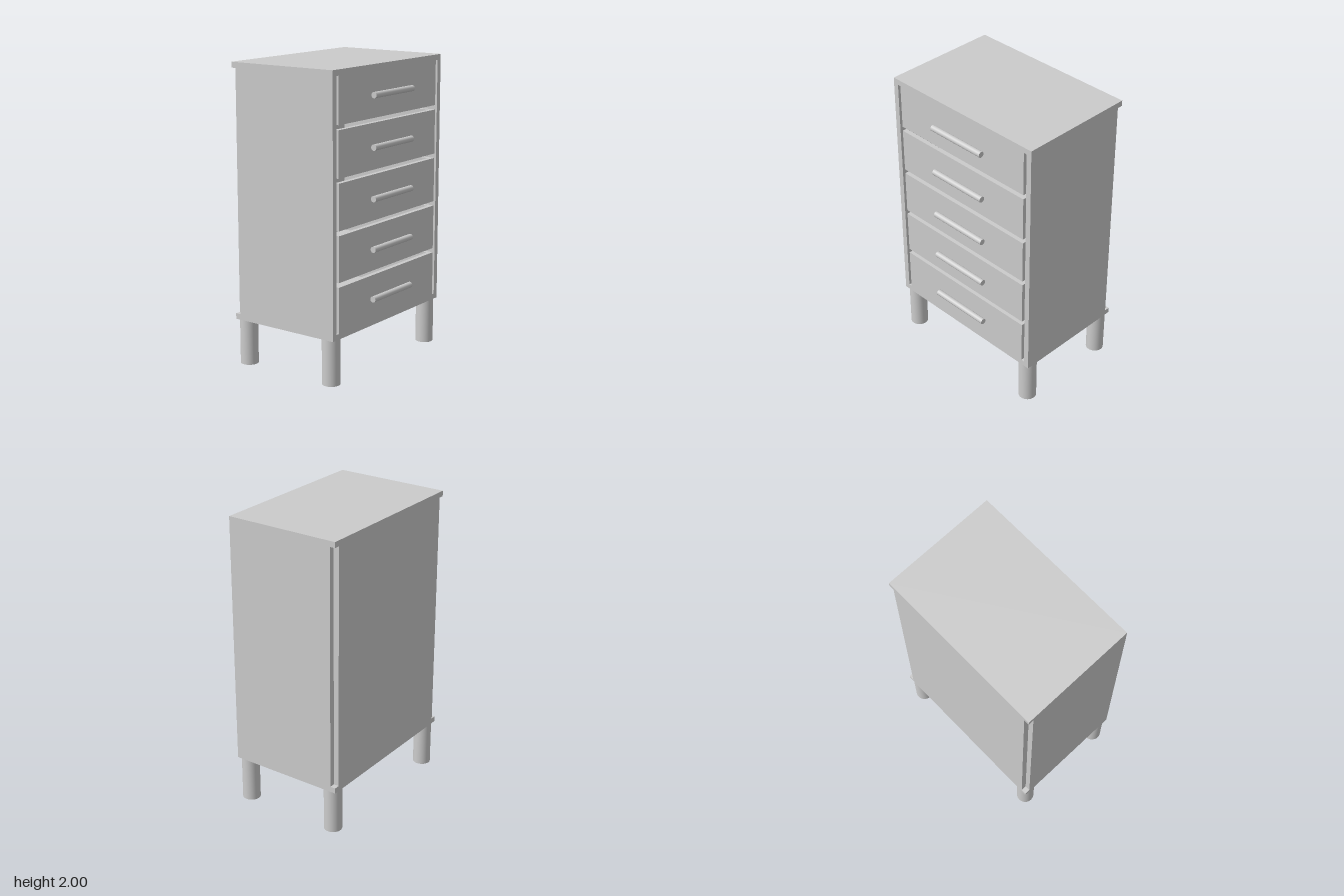
import * as THREE from 'three';

const material = new THREE.MeshStandardMaterial({ color: 0xcccccc });

function add(parent, name, geometry, x, y, z) {
  const mesh = new THREE.Mesh(geometry, material);
  mesh.name = name;
  mesh.position.set(x, y, z);
  parent.add(mesh);
  return mesh;
}

// Box given by its minimum and maximum corners
function panel(parent, name, [x0, y0, z0], [x1, y1, z1]) {
  return add(parent, name, new THREE.BoxGeometry(x1 - x0, y1 - y0, z1 - z0),
    (x0 + x1) / 2, (y0 + y1) / 2, (z0 + z1) / 2);
}

const W = 0.6, FRONT = 0.375, BACK = -0.425;   // cabinet extents
const BASE = 0.305, TOP = 2;                   // cabinet bottom and top
const T = 0.0375;                              // board thickness
const INNER_BACK = BACK + T;
const DRAWER_W = 0.54, DRAWER_H = 0.3, GAP = 0.03, WALL = 0.03;

// Open-topped drawer with a bar handle; its origin is the bottom of the front face
function makeDrawer() {
  const drawer = new THREE.Group();
  drawer.name = 'drawer';
  const depth = FRONT - INNER_BACK;
  const inner = DRAWER_W - WALL;
  panel(drawer, 'drawerFront', [-DRAWER_W, 0, -WALL], [DRAWER_W, DRAWER_H, 0]);
  panel(drawer, 'drawerBack', [-DRAWER_W, 0, -depth], [DRAWER_W, DRAWER_H, -depth + WALL]);
  panel(drawer, 'drawerFloor', [-inner, 0, -depth + WALL], [inner, WALL, -WALL]);
  for (const s of [-1, 1]) {
    const side = panel(drawer, 'drawerSide', [inner, 0, -depth + WALL], [DRAWER_W, DRAWER_H, -WALL]);
    side.position.x *= s;
  }
  const handle = add(drawer, 'handle', new THREE.CylinderGeometry(0.02, 0.02, 0.43, 32),
    0, DRAWER_H / 2, 0.03);
  handle.rotation.z = Math.PI / 2;
  return drawer;
}

export function createModel() {
  const model = new THREE.Group();
  model.name = 'chestOfDrawers';

  // Carcass: full top and bottom, side panels stopping short of the back panel
  panel(model, 'topPanel', [-W, TOP - T, BACK], [W, TOP, FRONT]);
  panel(model, 'bottomPanel', [-W, BASE, BACK], [W, BASE + T, FRONT]);
  panel(model, 'backPanel', [-W + T, BASE + T, BACK], [W - T, TOP - T, INNER_BACK]);
  for (const s of [-1, 1]) {
    const side = panel(model, 'sidePanel', [W - T, BASE + T, INNER_BACK], [W, TOP - T, FRONT]);
    side.position.x *= s;
  }

  // Stack of five drawers
  for (let i = 0; i < 5; i++) {
    const drawer = makeDrawer();
    drawer.position.set(0, BASE + T + i * (DRAWER_H + GAP), FRONT);
    model.add(drawer);
  }

  // Round legs flush with the corners
  const R = 0.06;
  const legGeometry = new THREE.CylinderGeometry(R, R, BASE, 32);
  for (const x of [-W + R, W - R]) {
    for (const z of [BACK + R, FRONT - R]) add(model, 'leg', legGeometry, x, BASE / 2, z);
  }

  return model;
}
